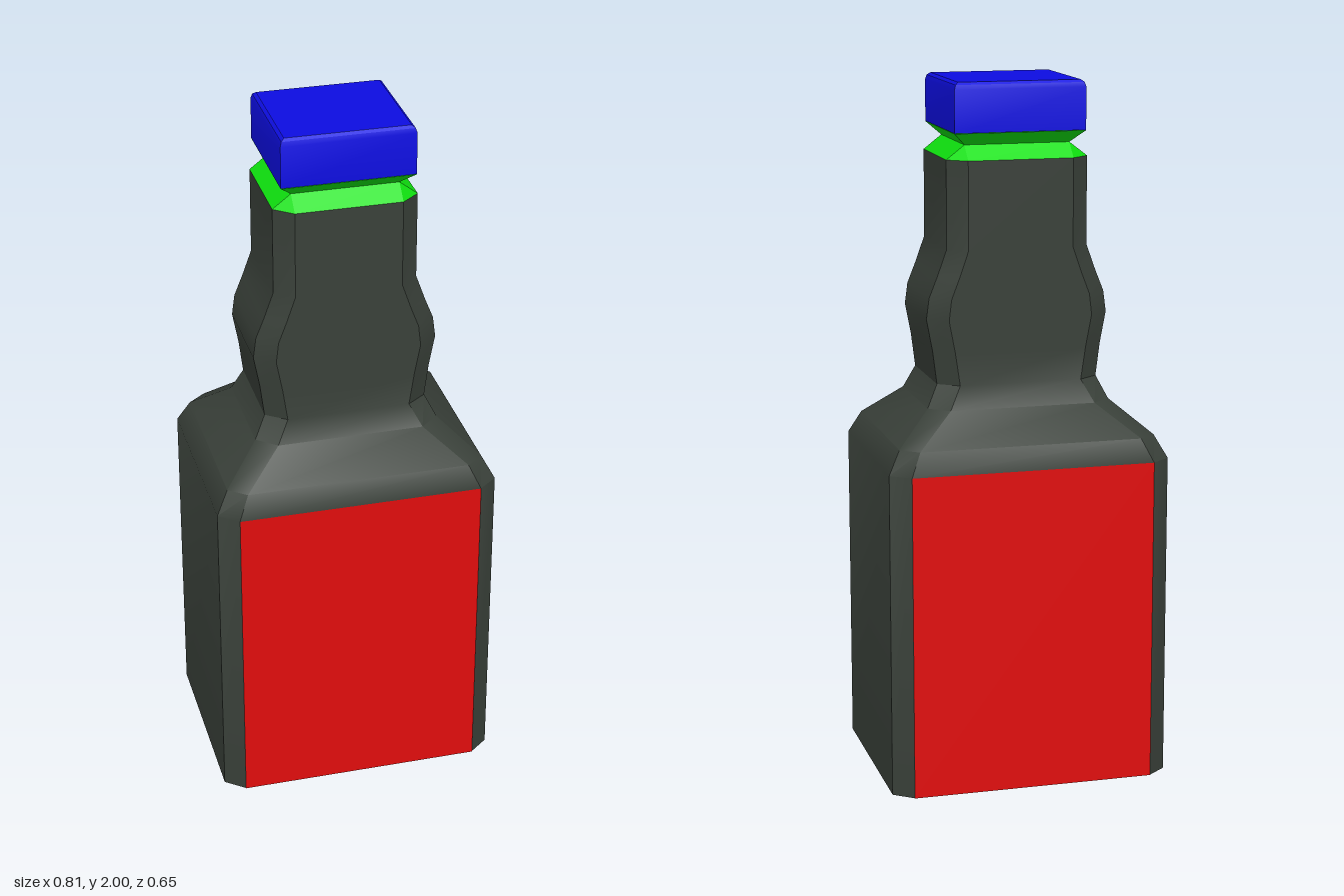
import * as THREE from 'three';
import { toCreasedNormals } from 'three/addons/utils/BufferGeometryUtils.js';

// Lofts chamfered rectangles: each section is [y, halfX, halfZ, innerX, innerZ]
function loft(sections, crease) {
  const rings = sections.map(([y, hx, hz, ix, iz]) => [
    [-ix, y, hz], [ix, y, hz], [hx, y, iz], [hx, y, -iz],
    [ix, y, -hz], [-ix, y, -hz], [-hx, y, -iz], [-hx, y, iz],
  ]);
  const pos = [];
  const same = (p, q) => p.every((v, k) => v === q[k]);
  const tri = (a, b, c) => {
    if (!same(a, b) && !same(b, c) && !same(a, c)) pos.push(...a, ...b, ...c);
  };
  for (let r = 0; r < rings.length - 1; r++) {
    for (let i = 0; i < 8; i++) {
      const j = (i + 1) % 8;
      tri(rings[r][i], rings[r][j], rings[r + 1][j]);
      tri(rings[r][i], rings[r + 1][j], rings[r + 1][i]);
    }
  }
  // End faces
  const bottom = rings[0], top = rings[rings.length - 1];
  for (let i = 1; i < 7; i++) {
    tri(bottom[0], bottom[i + 1], bottom[i]);
    tri(top[0], top[i], top[i + 1]);
  }
  const geometry = new THREE.BufferGeometry();
  geometry.setAttribute('position', new THREE.Float32BufferAttribute(pos, 3));
  geometry.computeVertexNormals();
  return toCreasedNormals(geometry, crease);
}

export function createModel() {
  const group = new THREE.Group();
  const material = (name, color) => {
    const m = new THREE.MeshStandardMaterial({ color });
    m.name = name;
    return m;
  };
  const darkGlass = material('dark glass', 0x394039);
  const labelRed = material('label red', 0xe00d0d);
  const collarGreen = material('collar green', 0x0fe00f);
  const capBlue = material('cap blue', 0x0d0de0);

  const add = (name, geometry, mat) => {
    const mesh = new THREE.Mesh(geometry, mat);
    mesh.name = name;
    group.add(mesh);
    return mesh;
  };

  // Bottle: square body, sloping shoulder and a neck that bulges sideways only
  add('bottle', loft([
    [0, 0.405, 0.324, 0.35, 0.28],
    [0.935, 0.405, 0.324, 0.35, 0.28],
    [1.0, 0.37, 0.296, 0.32, 0.255],
    [1.09, 0.265, 0.203, 0.21, 0.155],
    [1.155, 0.233, 0.178, 0.176, 0.135],
    [1.25, 0.245, 0.178, 0.19, 0.135],
    [1.34, 0.262, 0.178, 0.207, 0.135],
    [1.4, 0.254, 0.178, 0.2, 0.135],
    [1.46, 0.23, 0.178, 0.177, 0.135],
    [1.535, 0.203, 0.178, 0.151, 0.135],
    [1.785, 0.203, 0.178, 0.151, 0.135],
  ], 0.56), darkGlass);

  // Collar: pinched between the neck and the cap
  add('collar', loft([
    [1.785, 0.203, 0.178, 0.151, 0.135],
    [1.825, 0.151, 0.135, 0.151, 0.135],
    [1.86, 0.188, 0.174, 0.188, 0.174],
  ], 0.3), collarGreen);

  // Cap: block with a small bevel along the top
  add('cap', loft([
    [1.861, 0.188, 0.174, 0.188, 0.174],
    [1.98, 0.188, 0.174, 0.188, 0.174],
    [1.993, 0.184, 0.17, 0.184, 0.17],
    [2.0, 0.175, 0.162, 0.175, 0.162],
  ], 0.3), capBlue);

  // Labels: one on the front face, one on the back
  for (const side of [1, -1]) {
    const label = add(side > 0 ? 'frontLabel' : 'backLabel',
      new THREE.PlaneGeometry(0.7, 0.935), labelRed);
    label.position.set(0, 0.4675, side * 0.3255);
    if (side < 0) label.rotation.y = Math.PI;
  }

  return group;
}
